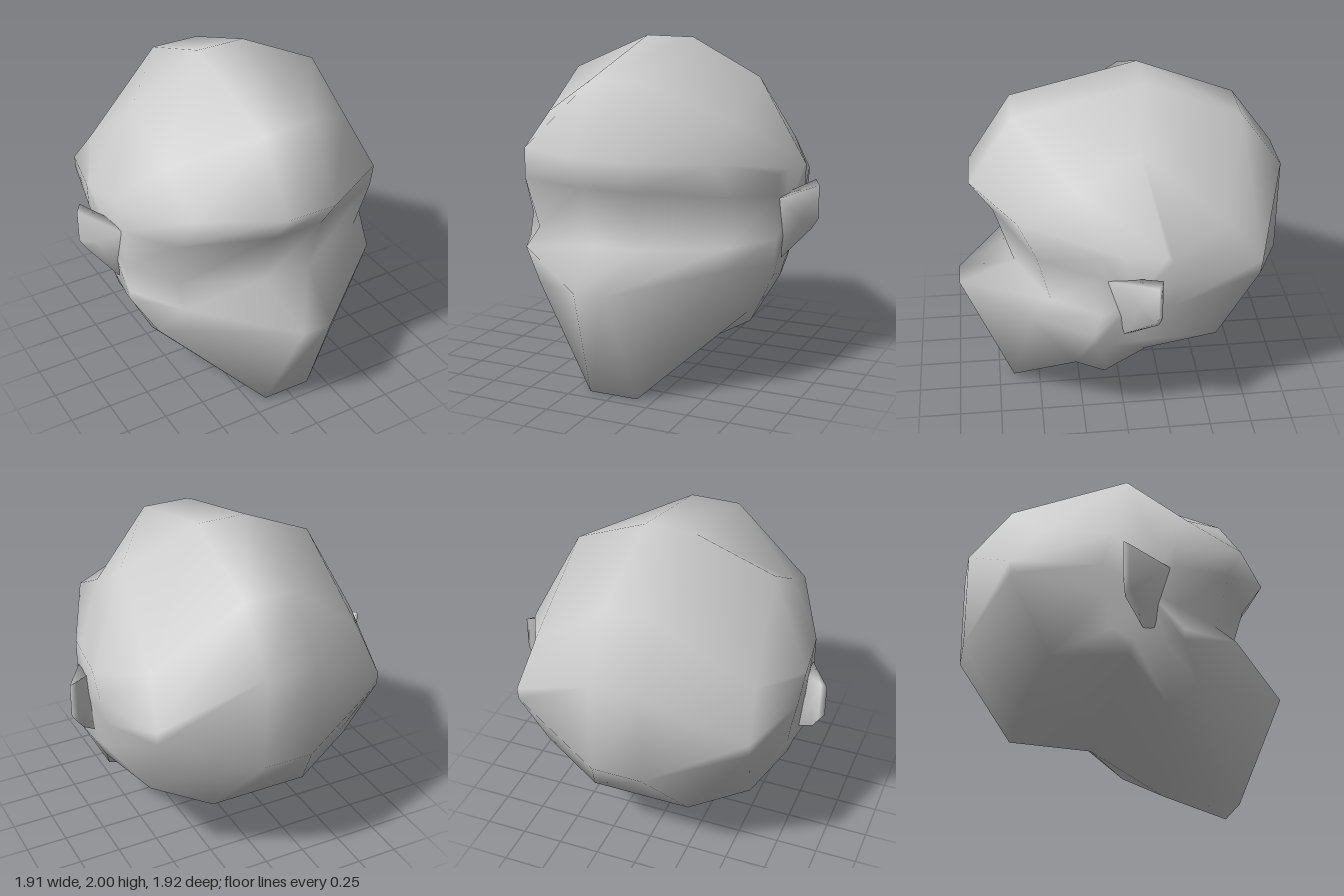
import * as THREE from 'three';

const skin = new THREE.MeshStandardMaterial({ color: 0xcccccc });
skin.name = 'plain grey';

// Smooth closed skin over equal-length rings, ordered from -x to +x, with fanned ends
function loft(rings) {
  const n = rings[0].length, pos = rings.flat(2), index = [];
  for (let k = 0; k < rings.length - 1; k++) {
    for (let i = 0; i < n; i++) {
      const j = (i + 1) % n, a = k * n + i, b = a + n, c = (k + 1) * n + j, d = k * n + j;
      index.push(a, b, c, a, c, d);
    }
  }
  const cap = (k, flip) => {
    const centre = pos.length / 3;
    for (let q = 0; q < 3; q++) pos.push(rings[k].reduce((s, p) => s + p[q], 0) / n);
    for (let i = 0; i < n; i++) {
      const a = k * n + i, b = k * n + (i + 1) % n;
      if (flip) index.push(centre, a, b);
      else index.push(centre, b, a);
    }
  };
  cap(0, true);
  cap(rings.length - 1, false);
  const g = new THREE.BufferGeometry();
  g.setAttribute('position', new THREE.Float32BufferAttribute(pos, 3));
  g.setIndex(index);
  g.computeVertexNormals();
  return g;
}

const mirror = rings => rings.map(r => r.map(([x, y, z]) => [-x, y, z])).reverse();

// Rings run chin, mouth, eyes, brow, crown, nape, throat
const middle = [
  [0.15, 0, 0.66], [0.09, 0.69, 0.96], [0.15, 0.87, 0.62], [0.15, 1.23, 0.73],
  [0.15, 1.42, 0.86], [0.15, 1.82, 0.6], [0.15, 2, -0.14], [0.15, 1.78, -0.71],
  [0.15, 1.44, -0.96], [0.15, 0.87, -0.96], [0.3, 0.45, -0.63], [0.2, 0.39, -0.15],
  [0.15, 0.12, 0.28],
];
// Jaw line, cheek, eye corner, temple, back of skull, jaw corner
const shoulder = [
  [0.68, 0.49, 0.3], [0.63, 0.79, 0.54], [0.6, 0.89, 0.43], [0.65, 1.2, 0.5],
  [0.59, 1.4, 0.6], [0.6, 1.57, 0.28], [0.595, 1.795, -0.08], [0.66, 1.37, -0.57],
  [0.7, 1.14, -0.76], [0.7, 1.06, -0.75], [0.645, 0.61, -0.525], [0.74, 0.61, -0.1],
  [0.64, 0.38, 0.13],
];
// Flat side of the head around the ear
const side = [
  [0.8, 0.7, 0.19], [0.8, 0.76, 0.2], [0.8, 0.9, 0.16], [0.8, 1.15, 0.15],
  [0.8, 1.28, 0.15], [0.82, 1.29, 0.03], [0.845, 1.29, -0.2], [0.845, 1.27, -0.23],
  [0.825, 1.1, -0.27], [0.79, 0.93, -0.25], [0.76, 0.75, -0.2], [0.765, 0.69, -0.08],
  [0.785, 0.68, 0.1],
];

// Ear plate, slanting outwards and back
const ear = [
  [[0.78, 1.13, 0], [0.925, 1.2, -0.165], [0.925, 0.95, -0.165], [0.89, 0.88, -0.15], [0.77, 0.75, -0.02]],
  [[0.79, 1.13, 0.14], [0.955, 1.17, -0.14], [0.955, 0.97, -0.14], [0.92, 0.91, -0.12], [0.79, 0.76, 0.03]],
];

export function createModel() {
  const model = new THREE.Group();
  model.name = 'head';
  const add = (name, rings) => {
    const mesh = new THREE.Mesh(loft(rings), skin);
    mesh.name = name;
    model.add(mesh);
  };
  const half = [middle, shoulder, side];
  add('skull', [...mirror(half), ...half]);
  add('leftEar', ear);
  add('rightEar', mirror(ear));
  return model;
}
